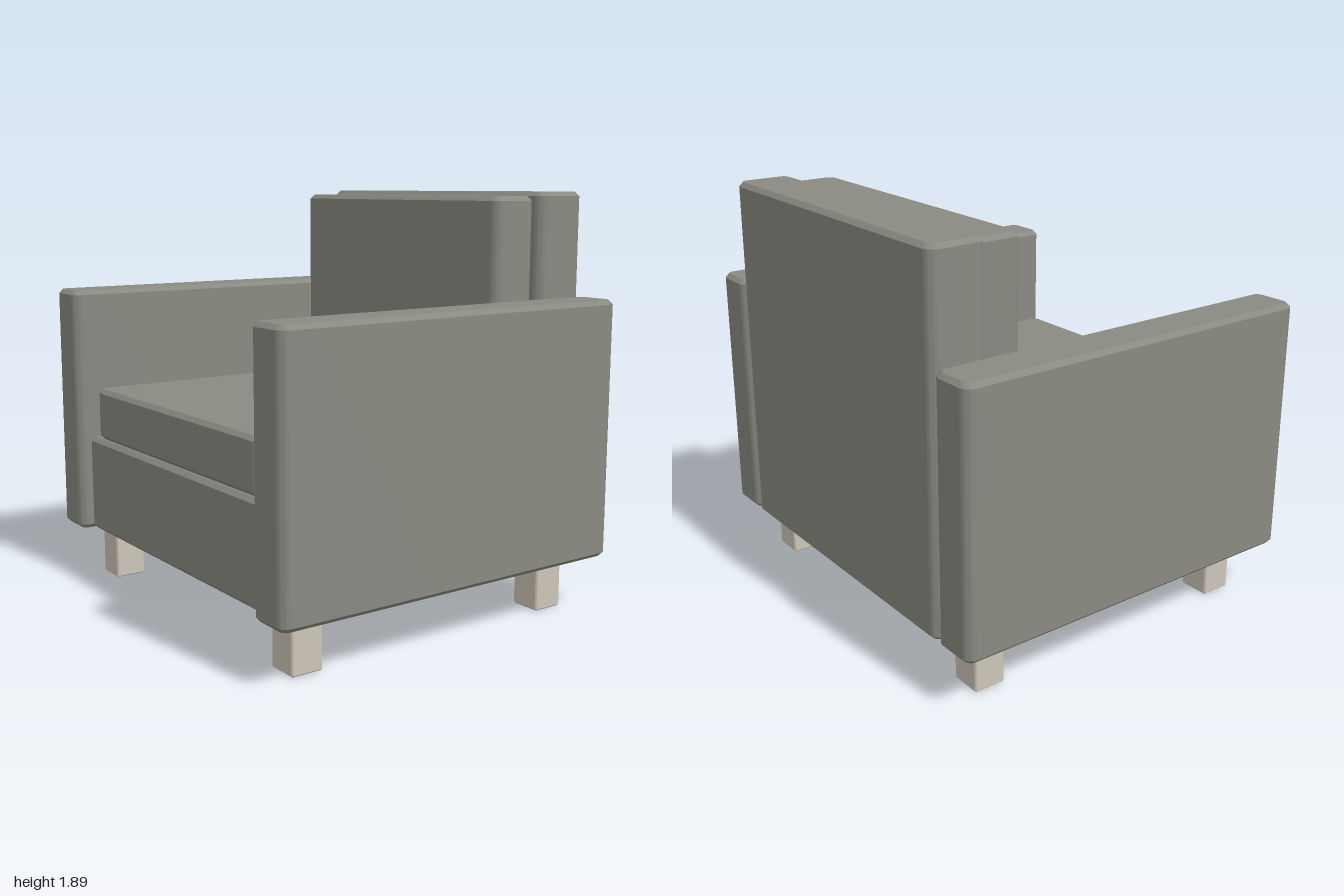
import * as THREE from 'three';
import { toCreasedNormals } from 'three/addons/utils/BufferGeometryUtils.js';

// Upright block: rounded vertical corners, chamfered top and bottom rims
function block([x0, x1], [y0, y1], [z0, z1], radius, chamfer) {
  const w = (x1 - x0) / 2 - chamfer, d = (z1 - z0) / 2 - chamfer;
  const r = radius - chamfer;
  const shape = new THREE.Shape();
  shape.absarc(w - r, d - r, r, 0, Math.PI / 2);
  shape.absarc(-w + r, d - r, r, Math.PI / 2, Math.PI);
  shape.absarc(-w + r, -d + r, r, Math.PI, Math.PI * 1.5);
  shape.absarc(w - r, -d + r, r, Math.PI * 1.5, Math.PI * 2);
  shape.closePath();
  const geometry = new THREE.ExtrudeGeometry(shape, {
    depth: y1 - y0 - 2 * chamfer,
    bevelSize: chamfer, bevelThickness: chamfer, bevelSegments: 1, curveSegments: 6,
  });
  geometry.rotateX(-Math.PI / 2);
  geometry.translate((x0 + x1) / 2, y0 + chamfer, (z0 + z1) / 2);
  return toCreasedNormals(geometry, 0.6);
}

export function createModel() {
  const chair = new THREE.Group();
  chair.name = 'armchair';
  const fabric = new THREE.MeshStandardMaterial({ color: 0x8a8a82 });
  const wood = new THREE.MeshStandardMaterial({ color: 0xcdc5b8 });

  const add = (name, material, x, y, z, radius = 0.05, chamfer = 0.02) => {
    const mesh = new THREE.Mesh(block(x, y, z, radius, chamfer), material);
    mesh.name = name;
    chair.add(mesh);
  };

  // Body
  add('seatBase', fabric, [-0.79, 0.79], [0.25, 0.71], [-0.8, 0.83], 0.025);
  add('backrest', fabric, [-0.78, 0.78], [0.25, 1.89], [-0.89, -0.625]);

  // Cushions
  add('seatCushion', fabric, [-0.725, 0.725], [0.71, 0.955], [-0.63, 0.82]);
  add('backCushion', fabric, [-0.725, 0.725], [0.98, 1.87], [-0.65, -0.415]);

  // Arms and legs, mirrored left and right
  for (const [side, s] of [['left', 1], ['right', -1]]) {
    const span = (a, b) => (s > 0 ? [a, b] : [-b, -a]);
    add(side + 'Arm', fabric, span(0.78, 1), [0.25, 1.42], [-0.89, 0.89]);
    add(side + 'FrontLeg', wood, span(0.7, 0.85), [0, 0.255], [0.595, 0.745], 0.012, 0.005);
    add(side + 'BackLeg', wood, span(0.7, 0.85), [0, 0.255], [-0.745, -0.595], 0.012, 0.005);
  }
  return chair;
}
